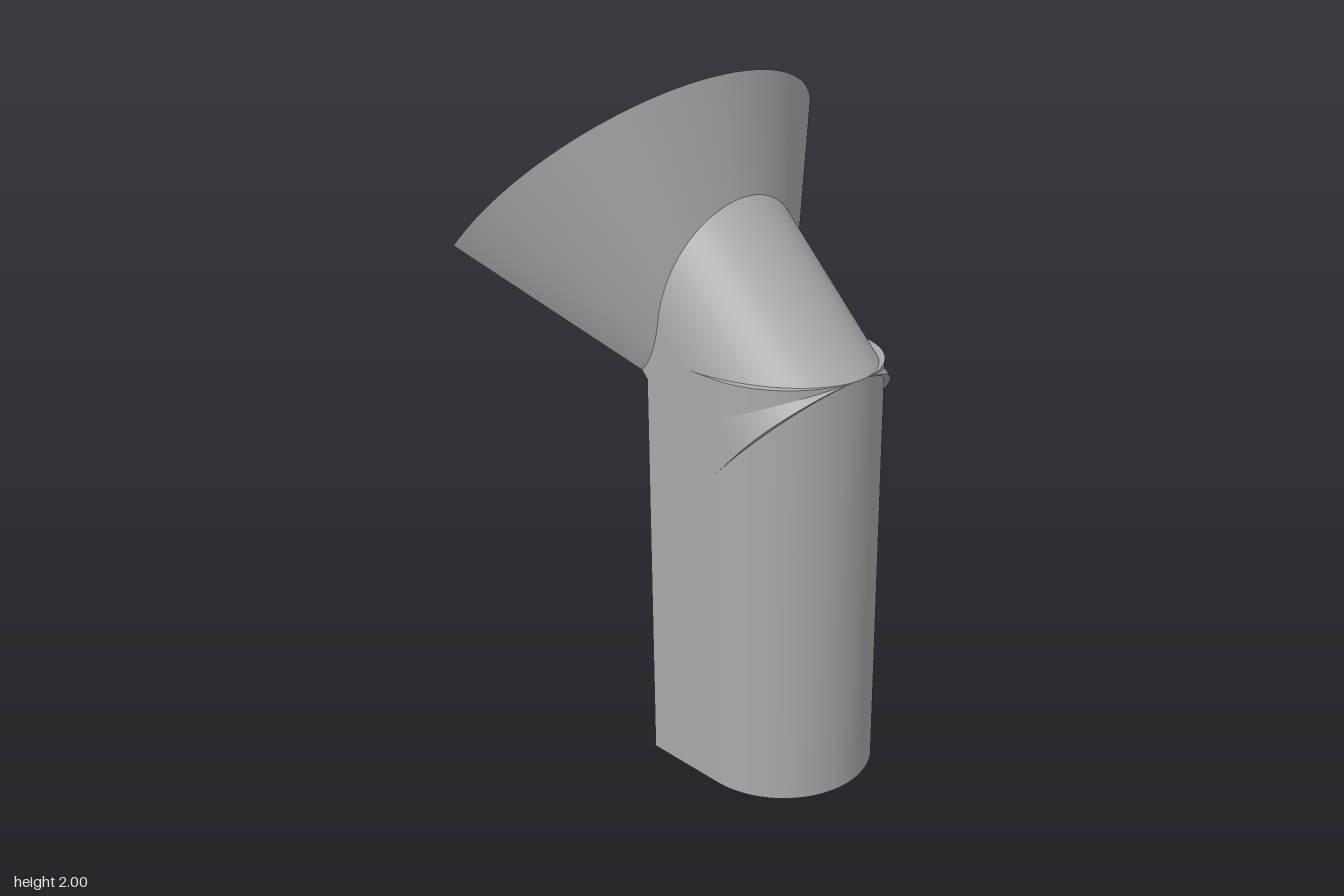
import * as THREE from 'three';
import { toCreasedNormals } from 'three/addons/utils/BufferGeometryUtils.js';
import { ParametricGeometry } from 'three/addons/geometries/ParametricGeometry.js';

const OUT = 0.27, IN = 0.22;                  // channel radii
const RIM = 0.62, GROOVE = 0.495, BOSS = 0.39; // funnel radii
const BACK = 0.785, AXIS = 0.946;             // heights of cut plane and channel axis in the tilted frame
const STEP = AXIS - BACK;
const START = 0.566, FLOOR = 1.294, END = 1.428; // stations along the tilted axis
const SLOPE = 0.7;

// U-shaped channel section, arch towards +y, open towards -y
function channelShape(straight) {
  const s = new THREE.Shape();
  s.moveTo(OUT, -straight);
  s.lineTo(OUT, 0);
  s.absarc(0, 0, OUT, 0, Math.PI, false);
  s.lineTo(-OUT, -straight);
  s.lineTo(-IN, -straight);
  s.lineTo(-IN, 0);
  s.absarc(0, 0, IN, Math.PI, 0, true);
  s.lineTo(IN, -straight);
  s.closePath();
  return s;
}

function extrude(shape, depth) {
  const g = new THREE.ExtrudeGeometry(shape, { depth, bevelEnabled: false, curveSegments: 40 });
  return toCreasedNormals(g, 0.5);
}

const polygon = (pts) => new THREE.Shape(pts.map(([x, y]) => new THREE.Vector2(x, y)));

export function createModel() {
  const model = new THREE.Group();
  const grey = new THREE.MeshStandardMaterial({ color: 0xaaaaaa, side: THREE.DoubleSide });
  grey.name = 'plain grey';

  function add(parent, name, geometry, x = 0, y = 0, z = 0) {
    const mesh = new THREE.Mesh(geometry, grey);
    mesh.name = name;
    mesh.position.set(x, y, z);
    parent.add(mesh);
    return mesh;
  }

  // Upright channel with a rib inside each wall
  add(model, 'uprightChannel', extrude(channelShape(0.27), 1.26).rotateX(Math.PI / 2), 0, 1.26, 0.19);
  for (const side of [1, -1]) {
    add(model, side > 0 ? 'leftRib' : 'rightRib',
      new THREE.CylinderGeometry(0.035, 0.035, 0.72, 20), side * IN, 0.36, -0.01);
  }

  // Tilted frame: local y points up and forward, local -z runs along the spout
  const spout = new THREE.Group();
  spout.name = 'tiltedSpout';
  spout.rotation.x = Math.PI / 4;
  model.add(spout);
  add(spout, 'tiltedChannel', extrude(channelShape(STEP), FLOOR - START), 0, AXIS, -FLOOR);

  // Half cone, beginning inside the channel wall
  const mid = 0.25;
  const cone = new ParametricGeometry((u, v, target) => {
    const a = Math.PI * (1 - u), c = Math.abs(Math.cos(a)), s = Math.sin(a);
    const onSide = mid * s <= STEP * c;
    const r0 = onSide ? mid / c
      : STEP * s + Math.sqrt((STEP * s) ** 2 - STEP ** 2 + mid ** 2);
    const r = r0 + (RIM - r0) * v;
    target.set(r * Math.cos(a), r * s, -(END - (RIM - r) * SLOPE ** -1));
  }, 96, 6);
  add(spout, 'funnelCone', cone, 0, BACK, 0);

  // Rim face and the wall of the groove behind it
  add(spout, 'funnelRim', new THREE.RingGeometry(GROOVE, RIM, 64, 1, 0, Math.PI).rotateY(Math.PI), 0, BACK, -END);
  add(spout, 'grooveWall',
    new THREE.CylinderGeometry(GROOVE, GROOVE, END - FLOOR, 64, 1, true, Math.PI / 2, Math.PI).rotateX(Math.PI / 2),
    0, BACK, -(END + FLOOR) / 2);

  // Groove floor around the channel mouth
  const floor = new THREE.Shape();
  floor.moveTo(GROOVE, 0);
  floor.absarc(0, 0, GROOVE, 0, Math.PI, false);
  floor.lineTo(-OUT, 0);
  floor.lineTo(-OUT, STEP);
  floor.absarc(0, STEP, OUT, Math.PI, 0, true);
  floor.lineTo(OUT, 0);
  floor.closePath();
  add(spout, 'grooveFloor', new THREE.ShapeGeometry(floor, 40).rotateY(Math.PI), 0, BACK, -FLOOR);

  for (const side of [1, -1]) {
    const label = side > 0 ? 'left' : 'right';
    // Flat cut face of the cone
    const face = polygon([
      [side * OUT, -(END - (RIM - OUT) / SLOPE)], [side * RIM, -END], [side * GROOVE, -END],
      [side * GROOVE, -FLOOR], [side * OUT, -FLOOR],
    ]);
    add(spout, label + 'CutFace', new THREE.ShapeGeometry(face).rotateX(Math.PI / 2), 0, BACK, 0);

    // Curved boss beside the channel mouth
    const top = Math.acos(IN / BOSS);
    const boss = new THREE.Shape();
    boss.moveTo(side * IN, 0);
    boss.lineTo(side * BOSS, 0);
    if (side > 0) boss.absarc(0, 0, BOSS, 0, top, false);
    else boss.absarc(0, 0, BOSS, Math.PI, Math.PI - top, true);
    boss.closePath();
    add(spout, label + 'Boss', extrude(boss, END - FLOOR), 0, BACK, -END);
  }
  return model;
}
